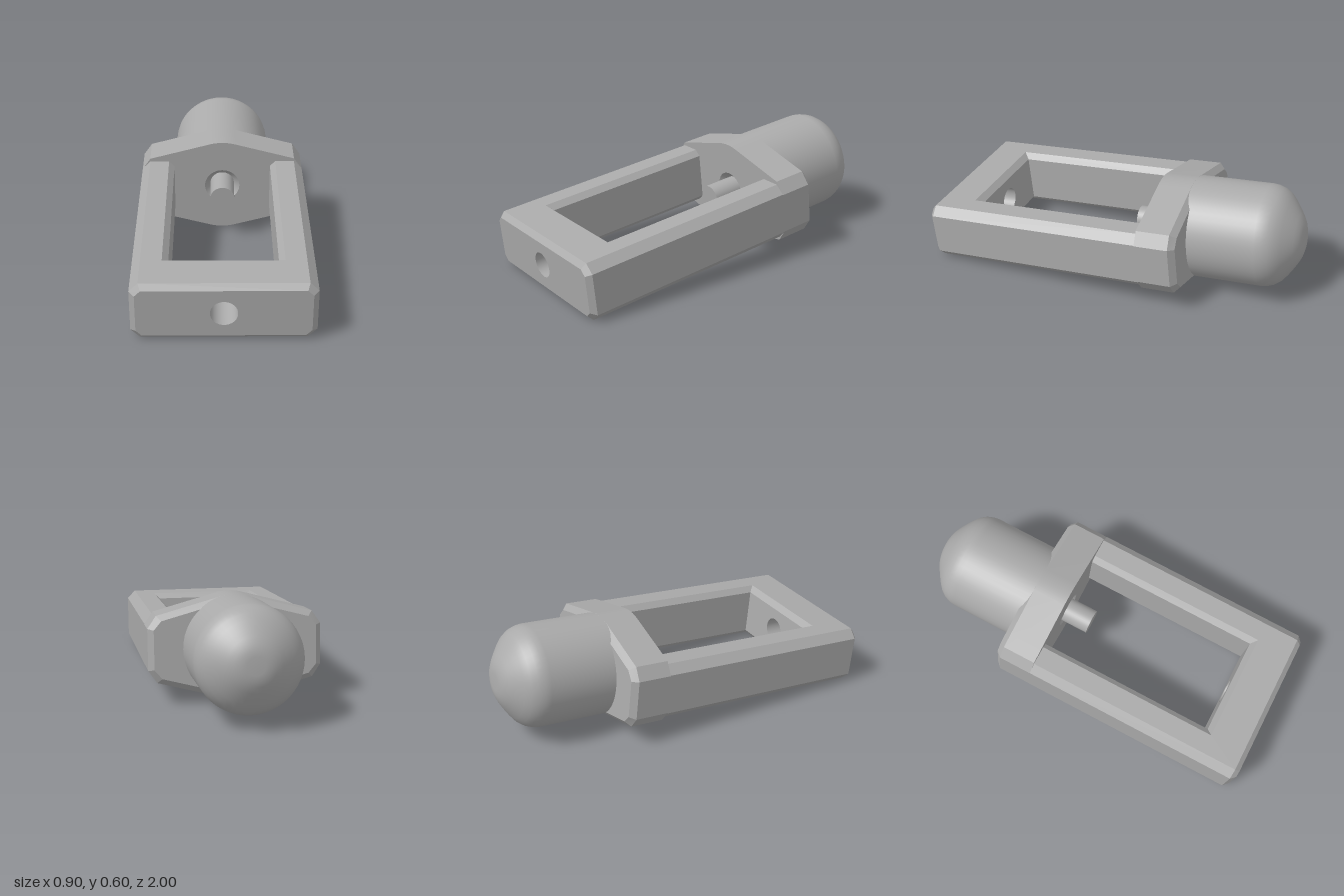
import * as THREE from 'three';
import { toCreasedNormals } from 'three/addons/utils/BufferGeometryUtils.js';

const TILT = 0.096;            // whole part leans up toward the back
const H = 0.156;               // frame half height
const FRONT = 0.968, BEVEL = 0.027, COLLAR = -0.258, HOLE = 0.067;

const grey = new THREE.MeshStandardMaterial({ color: 0xaaaaaa, side: THREE.DoubleSide });
grey.name = 'grey';

function add(parent, name, geometry) {
  const mesh = new THREE.Mesh(geometry, grey);
  mesh.name = name;
  parent.add(mesh);
  return mesh;
}

// Joins successive loops of equal point count; skip(level, side) leaves a side open
function loft(loops, skip = () => false) {
  const pos = [];
  for (let i = 0; i + 1 < loops.length; i++) {
    const a = loops[i], b = loops[i + 1];
    a.forEach((_, j) => {
      if (skip(i, j)) return;
      const k = (j + 1) % a.length;
      for (const p of [a[j], b[j], b[k], a[j], b[k], a[k]]) pos.push(p.x, p.y, p.z);
    });
  }
  const g = new THREE.BufferGeometry();
  g.setAttribute('position', new THREE.Float32BufferAttribute(pos, 3));
  return toCreasedNormals(g, 0.3);
}

const atZ = (pts, z) => pts.map(p => new THREE.Vector3(p.x, p.y, z));

// Flat plate with an optional round hole
function plate(pts, z, radius) {
  const shape = new THREE.Shape(pts);
  if (radius) shape.holes.push(new THREE.Path().absarc(0, 0, radius, 0, Math.PI * 2, true));
  return new THREE.ShapeGeometry(shape, 24).translate(0, 0, z);
}

// Chamfered frame section, offset inward by i
function frameSection(i) {
  const w = 0.45 - i, h = H - i, c = 0.045 - i * 0.586;
  return [[w, c - h], [w, h - c], [w - c, h], [c - w, h], [-w, h - c], [-w, c - h], [c - w, -h], [w - c, -h]]
    .map(p => new THREE.Vector2(...p));
}

// Collar outline: round crown blending tangentially into 15 degree slopes, offset by i
function collarSection(i) {
  const R = 0.272 - i, w = 0.45 - i, a = Math.PI / 12, x = 0.405 - i * 0.8;
  const half = [[w, 0.108 - i * 0.2], [x, (R - x * Math.sin(a)) / Math.cos(a)]];
  for (let k = 0; k <= 8; k++) {
    const t = a - (k / 8) * 2 * a;
    half.push([R * Math.sin(t), R * Math.cos(t)]);
  }
  half.push([-half[1][0], half[1][1]], [-w, half[0][1]]);
  return [...half, ...half.map(([px, py]) => [-px, -py])].map(p => new THREE.Vector2(...p));
}

// Surface of revolution along the long axis, from [radius, z] pairs
function revolve(profile) {
  const pts = profile.map(([r, z]) => new THREE.Vector2(r, -z));
  return new THREE.LatheGeometry(pts, 48).rotateX(-Math.PI / 2);
}

function buildFrame() {
  const frame = new THREE.Group();
  frame.name = 'frame';
  const outer = frameSection(0), inset = frameSection(BEVEL);
  add(frame, 'frameOuterSides', loft([atZ(outer, FRONT - BEVEL), atZ(outer, COLLAR)], (i, j) => j === 2 || j === 6));
  add(frame, 'frameFrontBevel', loft([atZ(inset, FRONT), atZ(outer, FRONT - BEVEL)]));
  add(frame, 'frameFrontFace', plate(inset, FRONT, HOLE));

  // U-shaped top and bottom faces
  const e = FRONT - BEVEL;
  const u = [[0.405, COLLAR], [0.405, e], [-0.405, e], [-0.405, COLLAR], [-0.3, COLLAR], [-0.3, 0.75], [0.3, 0.75], [0.3, COLLAR]];
  const uFace = new THREE.ShapeGeometry(new THREE.Shape(u.map(([x, z]) => new THREE.Vector2(x, -z))))
    .rotateX(-Math.PI / 2).translate(0, H, 0);
  add(frame, 'frameTopFace', uFace);
  add(frame, 'frameBottomFace', uFace.clone().rotateZ(Math.PI));

  // Window walls with chamfered rims; the pierced front wall is a separate plate
  const win = (y, x, z) => [[x, COLLAR], [x, z], [-x, z], [-x, COLLAR]].map(([px, pz]) => new THREE.Vector3(px, y, pz));
  const r = H - 0.03;
  add(frame, 'windowWalls', loft(
    [win(H, 0.3, 0.75), win(r, 0.27, 0.72), win(-r, 0.27, 0.72), win(-H, 0.3, 0.75)],
    (i, j) => j === 3 || (i === 1 && j === 1)));
  const wall = [[-0.27, -r], [0.27, -r], [0.27, r], [-0.27, r]].map(p => new THREE.Vector2(...p));
  add(frame, 'windowFrontWall', plate(wall, 0, HOLE).rotateY(Math.PI).translate(0, 0, 0.72));
  add(frame, 'frontBore', revolve([[HOLE, 0.72], [HOLE, FRONT]]));
  return frame;
}

function buildCollar() {
  const collar = new THREE.Group();
  collar.name = 'collar';
  const full = collarSection(0), inset = collarSection(0.03);
  add(collar, 'collarSides', loft([atZ(full, COLLAR), atZ(full, -0.44), atZ(inset, -0.47)]));
  add(collar, 'collarFrontFace', plate(full, COLLAR, 0.098));
  add(collar, 'collarBackFace', plate(inset, 0).rotateY(Math.PI).translate(0, 0, -0.47));
  add(collar, 'countersink', revolve([[0.098, COLLAR], [HOLE, -0.29]]));
  return collar;
}

export function createModel() {
  const model = new THREE.Group();
  model.name = 'clevis';
  const body = new THREE.Group();
  body.name = 'tiltedBody';
  body.rotation.x = TILT;
  body.position.set(0, 0.247, 0.024);
  model.add(body);

  body.add(buildFrame(), buildCollar());

  // Round-nosed barrel behind the collar
  add(body, 'barrel', revolve([
    [0.272, -0.44], [0.272, -0.83], [0.268, -0.862], [0.256, -0.895], [0.235, -0.925], [0.205, -0.951],
    [0.17, -0.976], [0.135, -0.999], [0.105, -1.015], [0.075, -1.025], [0.045, -1.029], [0, -1.029]]));

  // Pin reaching into the window
  add(body, 'pin', new THREE.CylinderGeometry(HOLE, HOLE, 0.19, 40).rotateX(Math.PI / 2).translate(0, 0, -0.205));
  return model;
}
